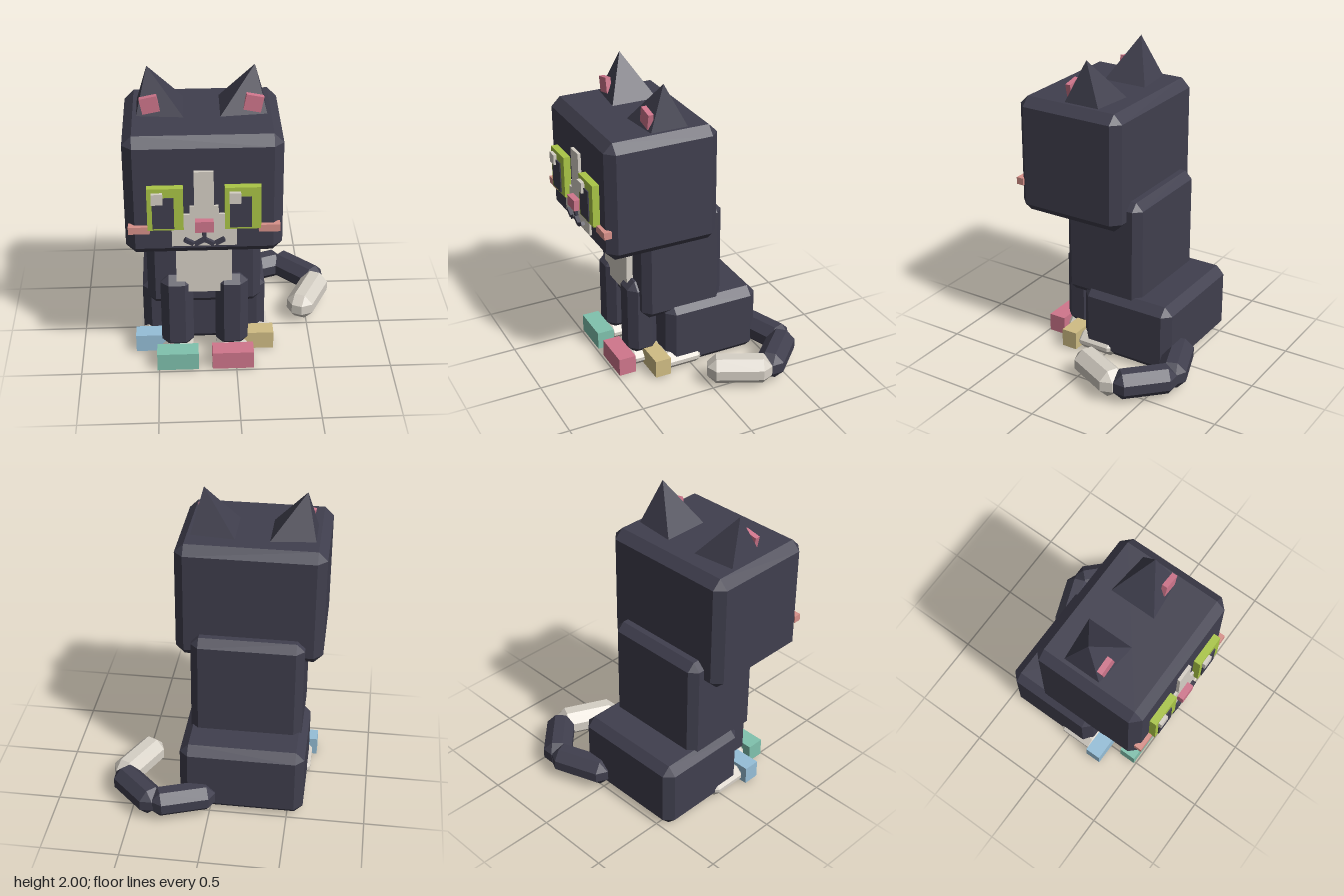
import * as THREE from 'three';
import { ConvexGeometry } from 'three/addons/geometries/ConvexGeometry.js';

const makeMaterial = (name, color) => {
  const m = new THREE.MeshStandardMaterial({ color });
  m.name = name;
  return m;
};

// Box with every edge cut at 45 degrees and triangular corners
function chamferBox(w, h, d, c) {
  const pts = [];
  for (const sx of [-1, 1]) for (const sy of [-1, 1]) for (const sz of [-1, 1]) {
    const x = w / 2, y = h / 2, z = d / 2;
    pts.push(
      new THREE.Vector3(sx * x, sy * (y - c), sz * (z - c)),
      new THREE.Vector3(sx * (x - c), sy * y, sz * (z - c)),
      new THREE.Vector3(sx * (x - c), sy * (y - c), sz * z));
  }
  return new ConvexGeometry(pts);
}

// Four-sided ear leaning outwards; s is the side
function earGeometry(s) {
  return new ConvexGeometry([
    [0.105, 1.725, 0], [0.105, 1.725, 0.31], [0.39, 1.725, 0.03], [0.39, 1.725, 0.28], [0.32, 2, 0.16],
  ].map(([x, y, z]) => new THREE.Vector3(s * x, y, z)));
}

export function createModel() {
  const fur = makeMaterial('charcoal fur', 0x403f4e);
  const cream = makeMaterial('cream fur', 0xd6d0c6);
  const green = makeMaterial('eye green', 0xaac646);
  const pink = makeMaterial('pink', 0xd0768c);
  const blush = makeMaterial('blush', 0xd8918a);
  const teal = makeMaterial('teal', 0x80c2ae);
  const blue = makeMaterial('light blue', 0x96bfd8);
  const tan = makeMaterial('tan', 0xd0bd84);

  const root = new THREE.Group();
  root.name = 'cat';
  // The body's centre line sits to one side because of the curled tail
  const cat = new THREE.Group();
  cat.name = 'body';
  cat.position.x = -0.2;
  root.add(cat);

  const add = (name, geometry, material, parent = cat) => {
    const mesh = new THREE.Mesh(geometry, material);
    mesh.name = name;
    parent.add(mesh);
    return mesh;
  };
  // Boxes given by their limits, relative to the centre line
  const box = (name, mat, [x0, x1], [y0, y1], [z0, z1], c = 0) => {
    const size = [x1 - x0, y1 - y0, z1 - z0];
    const mesh = add(name, c ? chamferBox(...size, c) : new THREE.BoxGeometry(...size), mat);
    mesh.position.set((x0 + x1) / 2, (y0 + y1) / 2, (z0 + z1) / 2);
    return mesh;
  };
  const around = (centre, width) => [centre - width / 2, centre + width / 2];

  // Main masses
  box('head', fur, [-0.47, 0.47], [0.95, 1.73], [-0.155, 0.6], 0.058);
  box('torso', fur, [-0.36, 0.36], [0.4, 1.13], [-0.245, 0.32], 0.05);
  box('haunches', fur, [-0.4, 0.4], [0.005, 0.475], [-0.49, 0.17], 0.055);
  box('chestPatch', cream, [-0.175, 0.175], [0.53, 0.97], [0.3, 0.363]);

  // Muzzle, blaze and nose
  box('muzzle', cream, [-0.193, 0.193], [1.03, 1.245], [0.59, 0.615]);
  box('muzzleTop', cream, [-0.086, 0.086], [1.245, 1.3], [0.59, 0.615]);
  box('blaze', cream, [-0.058, 0.058], [1.3, 1.53], [0.59, 0.62]);
  box('nose', pink, [-0.055, 0.055], [1.145, 1.217], [0.6, 0.657]);
  box('mouthLine', fur, [-0.013, 0.013], [1.075, 1.15], [0.605, 0.635]);

  for (const s of [-1, 1]) {
    // Mouth curls
    for (const [x, y, tilt] of [[0.03, 1.065, -0.52], [0.092, 1.068, 0.52]]) {
      const curl = add('mouthCurl', new THREE.BoxGeometry(0.062, 0.024, 0.03), fur);
      curl.position.set(s * x, y, 0.625);
      curl.rotation.z = s * tilt;
    }

    // Eyes, with both pupils and glints set to the same side
    const eye = s * 0.228;
    box('eye', green, around(eye, 0.213), [1.16, 1.437], [0.59, 0.646]);
    box('pupil', fur, around(eye - 0.013, 0.128), [1.175, 1.378], [0.6, 0.654]);
    box('eyeGlint', cream, around(eye - 0.047, 0.068), [1.342, 1.412], [0.6, 0.668]);
    box('cheek', blush, around(s * 0.387, 0.128), [1.123, 1.17], [0.575, 0.625]);

    // Ears
    add('ear', earGeometry(s), fur);
    const inner = add('innerEar', new THREE.BoxGeometry(0.106, 0.1, 0.035), pink);
    inner.position.set(s * 0.308, 1.8, 0.267);
    inner.rotation.z = s * -0.2;

    // Legs, paws and toe caps
    box('frontLeg', fur, around(s * 0.175, 0.207), [0.1, 0.64], [0.18, 0.385], 0.052);
    box('frontPaw', cream, around(s * 0.175, 0.2), [0.005, 0.128], [0.12, 0.4], 0.05);
    box('frontToes', s < 0 ? teal : pink, around(s * 0.178, 0.267), [0.01, 0.132], [0.372, 0.488]);
    box('backPaw', cream, around(s * 0.32, 0.2), [0.005, 0.13], [-0.09, 0.22], 0.05);
    box('backToes', s < 0 ? blue : tan, around(s * 0.317, 0.267), [0.02, 0.142], [0.182, 0.29]);
  }

  // Curled tail: each section runs between two points on the ground plan
  const tail = new THREE.Group();
  tail.name = 'tail';
  root.add(tail);
  const sections = [
    ['tailBase', fur, [-0.025, -0.465], [0.37, -0.61]],
    ['tailMiddle', fur, [0.325, -0.625], [0.615, -0.335]],
    ['tailTip', cream, [0.61, -0.37], [0.43, 0.01]],
  ];
  for (const [name, mat, [x0, z0], [x1, z1]] of sections) {
    const section = add(name, chamferBox(0.185, 0.18, Math.hypot(x1 - x0, z1 - z0), 0.057), mat, tail);
    section.position.set((x0 + x1) / 2, 0.118, (z0 + z1) / 2);
    section.rotation.y = Math.atan2(x1 - x0, z1 - z0);
  }

  return root;
}
